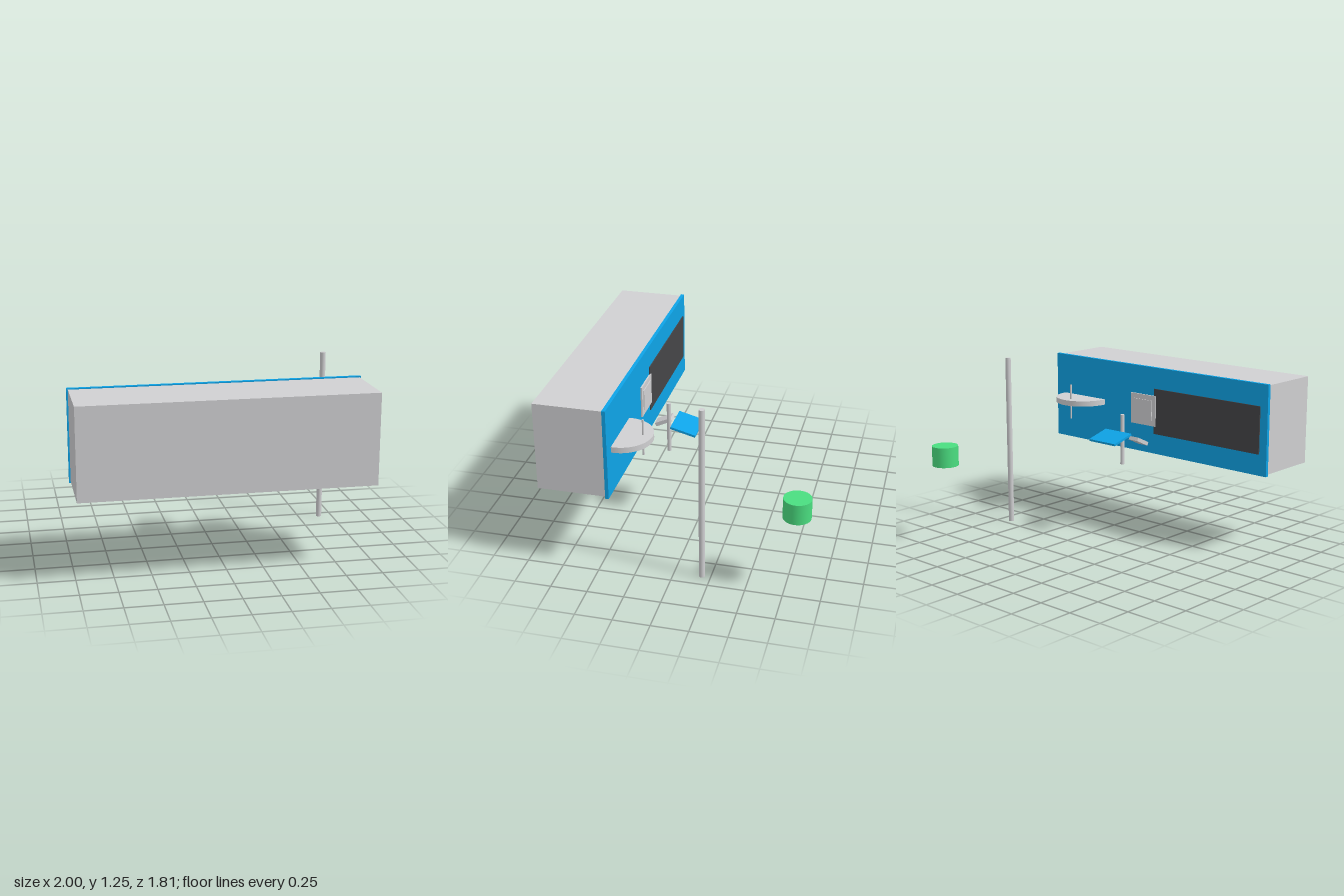
import * as THREE from 'three';

export function createModel() {
  const model = new THREE.Group();
  model.name = 'wallUnitAndObjects';

  const paint = (name, color) => {
    const m = new THREE.MeshStandardMaterial({ color });
    m.name = name;
    return m;
  };
  const grey = paint('lightGrey', 0xd0d0d2);
  const blue = paint('skyBlue', 0x0ea5e9);
  const green = paint('green', 0x4ade80);
  const dark = paint('charcoal', 0x454548);

  const add = (name, geometry, material, x, y, z, tilt = 0) => {
    const mesh = new THREE.Mesh(geometry, material);
    mesh.name = name;
    mesh.position.set(x, y, z);
    mesh.rotation.x = tilt;
    model.add(mesh);
    return mesh;
  };
  // Box given by its limits on each axis
  const block = (name, material, [x0, x1], [y0, y1], [z0, z1]) =>
    add(name, new THREE.BoxGeometry(x1 - x0, y1 - y0, z1 - z0), material,
      (x0 + x1) / 2, (y0 + y1) / 2, (z0 + z1) / 2);
  // Upright cylinder between two heights
  const rod = (name, material, r, x, z, y0, y1) =>
    add(name, new THREE.CylinderGeometry(r, r, y1 - y0, 32), material, x, (y0 + y1) / 2, z);

  // Long cabinet and its blue back panel
  block('cabinet', grey, [-0.99, 0.98], [0.575, 1.197], [0.434, 0.9]);
  block('bluePanel', blue, [-1, 0.99], [0.565, 1.205], [0.41, 0.434]);

  // Plates fixed to the panel
  block('darkScreen', dark, [-0.94, 0], [0.715, 1.05], [0.403, 0.41]);
  block('squarePlate', grey, [-0.02, 0.216], [0.77, 0.997], [0.399, 0.41]);
  block('squarePlateCentre', grey, [0.015, 0.185], [0.81, 0.96], [0.393, 0.4]);

  // Half-round shelf with a thin spindle
  const halfRound = new THREE.Shape();
  halfRound.moveTo(0.207, -0.016);
  halfRound.lineTo(0.207, 0);
  halfRound.absarc(0, 0, 0.207, 0, Math.PI, false);
  halfRound.lineTo(-0.207, -0.016);
  const shelf = new THREE.ExtrudeGeometry(halfRound, { depth: 0.04, bevelEnabled: false, curveSegments: 32 });
  shelf.rotateX(-Math.PI / 2);
  add('halfRoundShelf', shelf, grey, 0.697, 0.865, 0.394);
  rod('shelfSpindle', grey, 0.007, 0.695, 0.254, 0.755, 1.015);

  // Short post with a tilted tray and a tilted pad beside it
  rod('shortPost', grey, 0.015, 0.15, 0.228, 0.495, 0.866);
  add('blueTray', new THREE.BoxGeometry(0.248, 0.016, 0.184), blue, 0.15, 0.718, 0.098, -0.26);
  add('tiltedPad', new THREE.BoxGeometry(0.083, 0.027, 0.125), grey, 0.045, 0.676, 0.288, 0.44);

  // Free-standing pole and drum
  rod('tallPole', grey, 0.02, 0.905, -0.19, 0, 1.25);
  rod('greenDrum', green, 0.093, 0.905, -0.812, 0.555, 0.698);

  return model;
}
